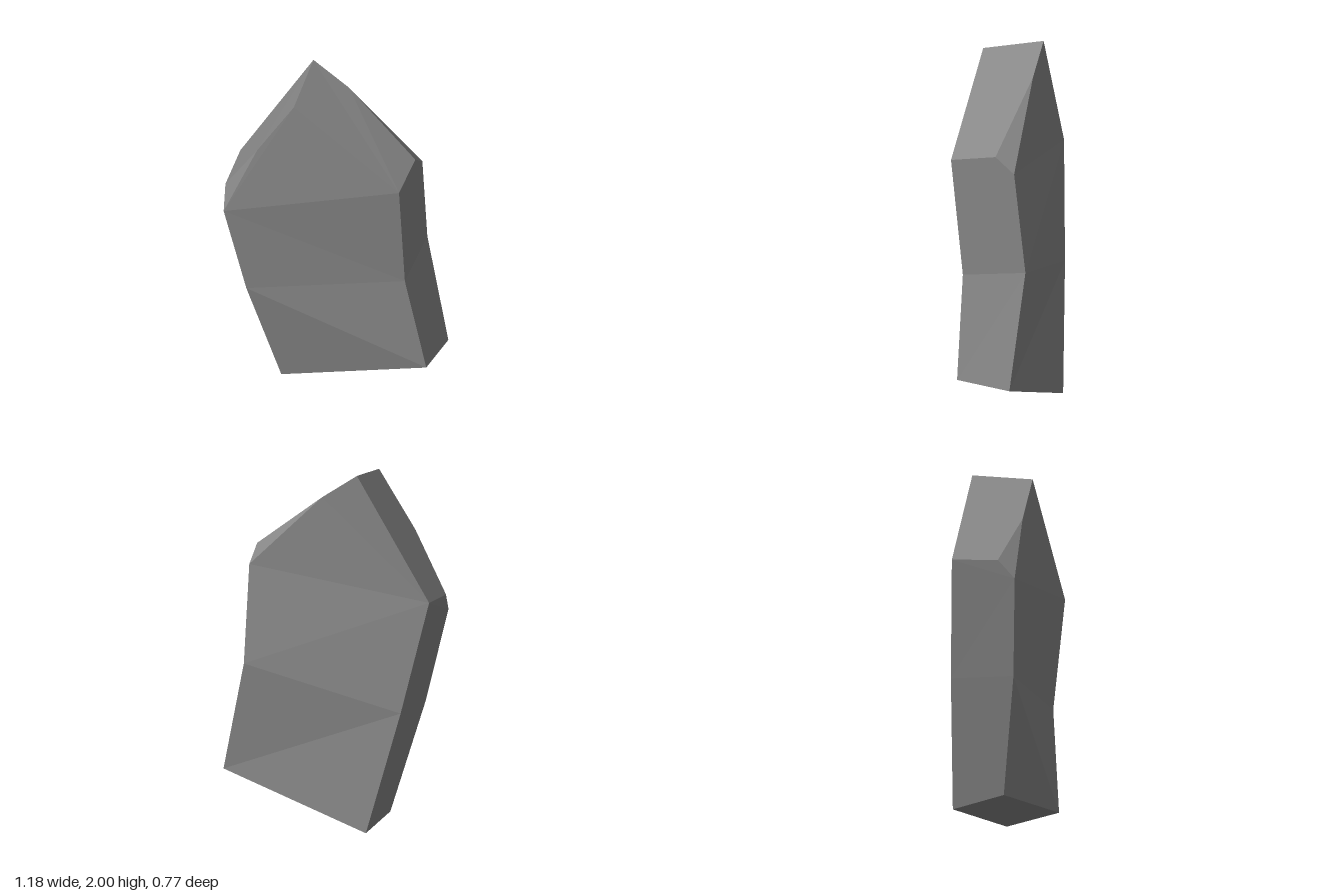
import * as THREE from 'three';

// Outline of the front slab face, counter-clockwise from the lower left
const front = {
  f1: [-0.28, 0.03, -0.07], f2: [0.41, 0.285, 0.385], f3: [0.305, 0.84, 0.33], f4: [0.26, 1.475, 0.385],
  f5: [-0.25, 1.925, 0.095], f6: [-0.43, 1.6, 0], f7: [-0.595, 1.165, -0.08], f8: [-0.475, 0.645, -0.06],
};
// Outline of the back face
const back = {
  b1: [-0.1, 0.003, -0.31], b2: [0.59, 0.26, 0.138], b3: [0.5, 0.89, 0.03], b4: [0.46, 1.435, 0.083],
  b5: [0.1, 1.855, -0.1], b6: [-0.073, 2, -0.197], b7: [-0.43, 1.32, -0.388], b8: [-0.28, 0.69, -0.36],
};
// Chipped corners on the rim
const chips = { c1: [0.4, 1.52, 0.172], c2: [-0.565, 1.28, -0.165] };
const corners = { ...front, ...back, ...chips };

// Each facet is a polygon fanned from its first corner
const facets = {
  frontFace: ['f7 f4 f5 f6', 'f7 f3 f4', 'f8 f3 f7', 'f8 f2 f3', 'f8 f1 f2'],
  backFace: ['b7 b6 b5 b4', 'b7 b4 b3', 'b7 b3 b8', 'b8 b3 b2', 'b8 b2 b1'],
  topRim: ['f4 c1 b5 b6 f5', 'c1 b4 b5', 'f6 f5 b6 b7 c2'],
  leftRim: ['f3 b3 b4 c1 f4', 'f2 b2 b3 f3'],
  rightRim: ['f1 f8 b8 b1', 'f7 c2 b7 b8 f8', 'c2 f7 f6'],
  underside: ['f2 f1 b1 b2'],
};

function facetGeometry(polygons) {
  const positions = [];
  for (const polygon of polygons) {
    const pts = polygon.split(' ').map((key) => corners[key]);
    for (let i = 1; i < pts.length - 1; i++) positions.push(...pts[0], ...pts[i], ...pts[i + 1]);
  }
  const geometry = new THREE.BufferGeometry();
  geometry.setAttribute('position', new THREE.Float32BufferAttribute(positions, 3));
  geometry.computeVertexNormals(); // unshared corners give flat facets
  return geometry;
}

export function createModel() {
  const group = new THREE.Group();
  group.name = 'rock';
  const stone = new THREE.MeshStandardMaterial({ color: 0x888888 });
  stone.name = 'grey stone';
  for (const [name, polygons] of Object.entries(facets)) {
    const mesh = new THREE.Mesh(facetGeometry(polygons), stone);
    mesh.name = name;
    group.add(mesh);
  }
  return group;
}
